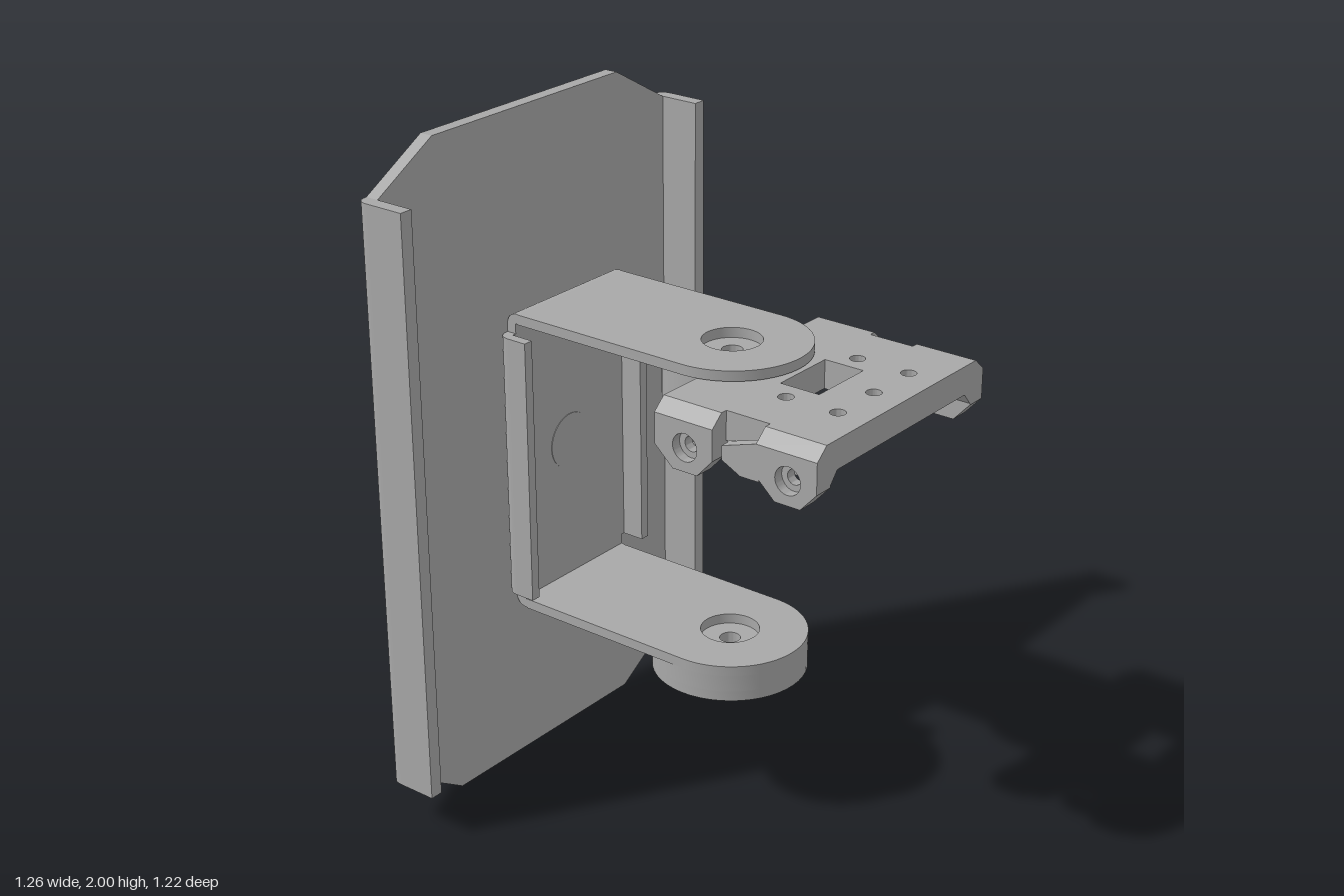
import * as THREE from 'three';
import { toCreasedNormals } from 'three/addons/utils/BufferGeometryUtils.js';

export function createModel() {
  const root = new THREE.Group();
  const steel = new THREE.MeshStandardMaterial({ color: 0xa8a8a8 });
  steel.name = 'grey steel';
  const CX = 0.11; // centre line of the bracket and hinge
  const CZ = 0.05; // pivot depth

  const add = (name, geo) => {
    const mesh = new THREE.Mesh(toCreasedNormals(geo, 0.5), steel);
    mesh.name = name;
    root.add(mesh);
    return mesh;
  };
  const poly = (pts) => new THREE.Shape(pts.map(([x, y]) => new THREE.Vector2(x, y)));
  const circle = (x, y, r) => new THREE.Shape().absarc(x, y, r, 0, Math.PI * 2, false);
  const hexagon = (x, y, r) => poly([0, 1, 2, 3, 4, 5].map((i) =>
    [x + r * Math.cos(i * Math.PI / 3), y + r * Math.sin(i * Math.PI / 3)]));
  const extrude = (shape, depth) =>
    new THREE.ExtrudeGeometry(shape, { depth, bevelEnabled: false, curveSegments: 24 });
  // Shape in (x, -z), raised along y
  const alongY = (shape, y0, y1) => extrude(shape, y1 - y0).rotateX(-Math.PI / 2).translate(0, y0, 0);
  // Shape in (z, y), swept along x
  const alongX = (shape, x0, x1) => extrude(shape, x1 - x0).rotateY(-Math.PI / 2).translate(x1, 0, 0);
  // Shape in (x, y), swept along z
  const alongZ = (shape, z0, z1) => extrude(shape, z1 - z0).translate(0, 0, z0);

  // Back plate with cut corners
  add('backPlate', alongZ(poly([
    [-0.38, 0], [0.38, 0], [0.59, 0.13], [0.59, 1.88],
    [0.38, 2], [-0.38, 2], [-0.59, 1.88], [-0.59, 0.13],
  ]), -0.61, -0.57));

  // Bent edge with a rounded outer corner, mirrored by side s
  const lip = (s, cx, xIn, xOut, r, t, zBack, zFront) => {
    const X = (x) => cx + s * x;
    const p = new THREE.Shape();
    p.moveTo(X(xIn), -zBack);
    p.lineTo(X(xOut - r), -zBack);
    p.quadraticCurveTo(X(xOut), -zBack, X(xOut), -zBack - r);
    p.lineTo(X(xOut), -zFront);
    p.lineTo(X(xOut - t), -zFront);
    p.lineTo(X(xOut - t), -zBack - t);
    p.lineTo(X(xIn), -zBack - t);
    return p;
  };
  for (const s of [-1, 1]) {
    add('backPlateFlange', alongY(lip(s, 0, 0.58, 0.63, 0.04, 0.04, -0.61, -0.45), 0.13, 1.88));
    add('bracketFlange', alongY(lip(s, 0.1125, 0.22, 0.2675, 0.04, 0.03, -0.57, -0.47), 0.56, 1.365));
  }

  // U bracket: upright wall with rounded bends
  const wall = new THREE.Shape();
  wall.moveTo(-0.53, 0.5);
  wall.quadraticCurveTo(-0.57, 0.5, -0.57, 0.54);
  wall.lineTo(-0.57, 1.385);
  wall.quadraticCurveTo(-0.57, 1.425, -0.53, 1.425);
  wall.lineTo(-0.53, 1.395);
  wall.lineTo(-0.54, 1.395);
  wall.lineTo(-0.54, 0.53);
  wall.lineTo(-0.53, 0.53);
  add('bracketWall', alongX(wall, -0.1125, 0.3375));
  add('wallDisc', alongZ(circle(CX, 0.96, 0.085), -0.542, -0.538));

  // Arms with a round end and a pivot opening
  for (const [name, y0] of [['upperArm', 1.395], ['lowerArm', 0.5]]) {
    const arm = new THREE.Shape();
    arm.moveTo(CX + 0.225, 0.53);
    arm.lineTo(CX - 0.225, 0.53);
    arm.lineTo(CX - 0.225, -CZ);
    arm.absarc(CX, -CZ, 0.225, Math.PI, Math.PI * 2, false);
    arm.holes.push(circle(CX, -CZ, 0.085));
    add(name, alongY(arm, y0, y0 + 0.03));
  }

  // Pivot discs and the stub under the lower arm
  const ring = (r, hole) => {
    const p = circle(CX, -CZ, r);
    p.holes.push(circle(CX, -CZ, hole));
    return p;
  };
  add('upperPivotDisc', alongY(ring(0.193, 0.03), 1.27, 1.395));
  add('lowerPivotDisc', alongY(ring(0.225, 0.03), 0.45, 0.5));
  const face = ring(0.225, 0.03);
  for (let i = 0; i < 4; i++) {
    const a = Math.PI / 4 + i * Math.PI / 2;
    face.holes.push(circle(CX + 0.16 * Math.cos(a), -CZ + 0.16 * Math.sin(a), 0.02));
  }
  add('lowerPivotFace', alongY(face, 0.42, 0.45));
  add('pivotStub', alongY(ring(0.09, 0.03), 0.355, 0.42));

  // Hinge plate: round holes above, hexagonal nut pockets below
  const bolts = [[-0.055, 0.35], [0.275, 0.35], [-0.055, 0.515], [CX, 0.515], [0.275, 0.515]];
  const slab = (cut) => {
    const p = poly([[-0.22, -0.61], [0.44, -0.61], [0.44, -0.09], [-0.22, -0.09]]);
    p.holes.push(poly([[0.01, -0.41], [0.215, -0.41], [0.215, -0.285], [0.01, -0.285]]));
    for (const [x, z] of bolts) p.holes.push(cut(x, -z));
    return p;
  };
  add('hingePlateTop', alongY(slab((x, y) => circle(x, y, 0.022)), 1.345, 1.39));
  add('hingePlateUnderside', alongY(slab((x, y) => hexagon(x, y, 0.045)), 1.305, 1.345));

  // Hinge knuckles on both sides of the plate
  for (const s of [-1, 1]) {
    const X = (d) => CX + s * d; // d is the distance from the centre line
    const sweep = (name, shape, d0, d1) =>
      add(name, alongX(shape, Math.min(X(d0), X(d1)), Math.max(X(d0), X(d1))));
    for (const [z0, z1] of [[0.09, 0.28], [0.42, 0.61]]) {
      const zc = z0 < 0.3 ? 0.19 : 0.52;
      const knuckle = (r) => {
        const p = poly([[z0, 1.355], [z0, 1.265], [zc - 0.04, 1.21],
          [zc + 0.04, 1.21], [z1, 1.265], [z1, 1.355]]);
        p.holes.push(circle(zc, 1.28, r));
        return p;
      };
      sweep('knuckleInner', knuckle(0.022), 0.33, 0.36);
      sweep('knuckleOuter', knuckle(0.04), 0.36, 0.39);
      add('knuckleShoulder', alongZ(poly([[X(0.33), 1.355], [X(0.39), 1.355],
        [X(0.35), 1.39], [X(0.33), 1.39]]), z0, z1));
      add('knuckleGusset', alongZ(poly([[X(0.33), 1.27], [X(0.3), 1.305], [X(0.33), 1.305]]), z0, z1));
    }
    // Hook reaching from the front knuckle towards the rear one
    sweep('hingeHook', poly([[0.43, 1.25], [0.37, 1.25], [0.31, 1.28],
      [0.31, 1.32], [0.42, 1.355], [0.43, 1.355]]), 0.355, 0.39);
    add('hookNub', alongY(circle(X(0.355), -0.318, 0.012), 1.29, 1.32));
  }
  return root;
}
